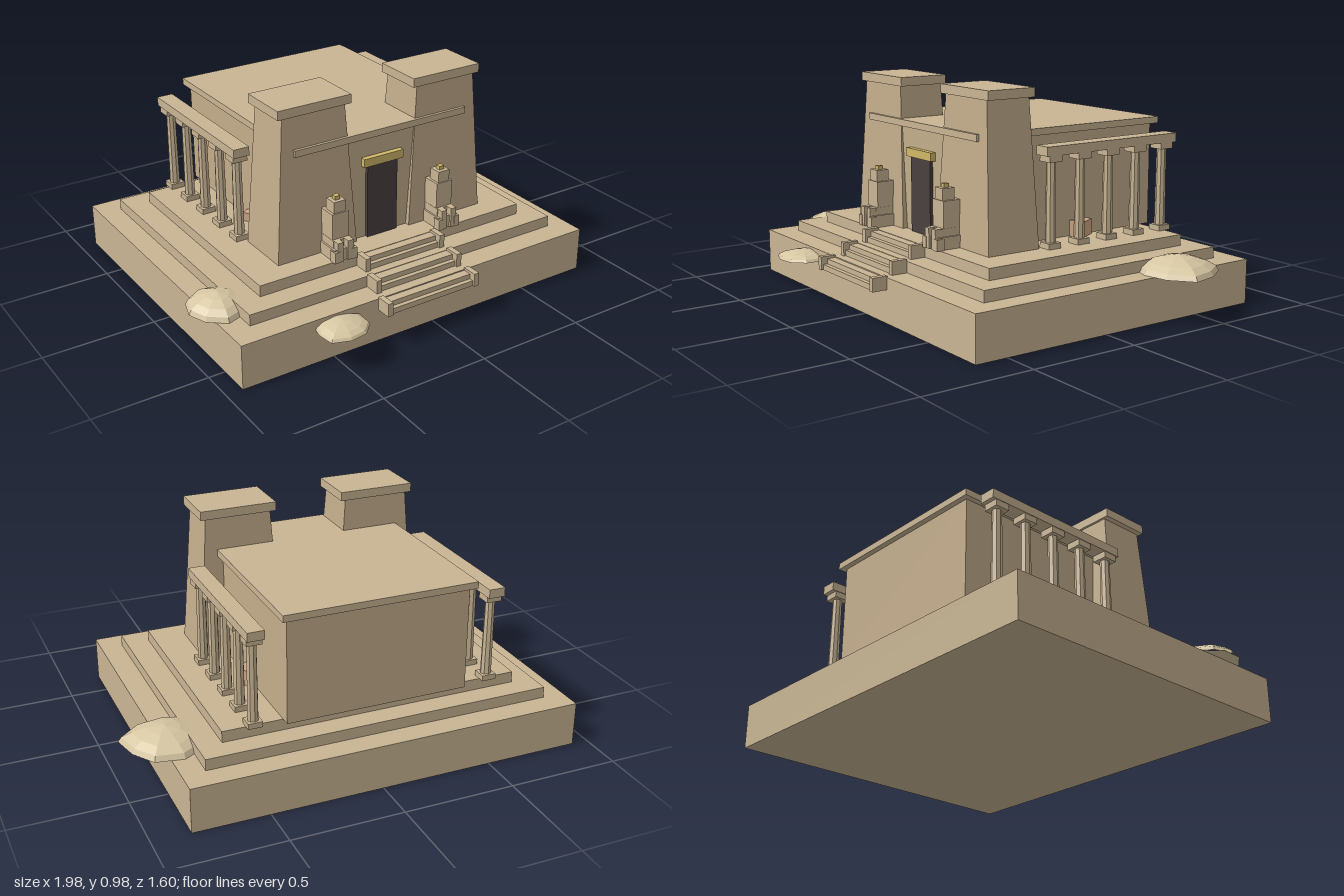
import * as THREE from 'three';

const mat = (color) => new THREE.MeshStandardMaterial({ color, flatShading: true });
const SAND = mat(0xc9b594), STONE = mat(0xc4ae8c), DARK = mat(0x4a403f), GOLD = mat(0xd0b868),
  DUNE = mat(0xd6c6a2), CLAY = mat(0xcfa583);
const CX = -0.046; // symmetry axis of the temple

function add(parent, name, geometry, material) {
  const mesh = new THREE.Mesh(geometry, material);
  mesh.name = name;
  parent.add(mesh);
  return mesh;
}

// Box given by its extents on each axis
function box(parent, name, [x0, x1], [y0, y1], [z0, z1], material = SAND) {
  const mesh = add(parent, name, new THREE.BoxGeometry(x1 - x0, y1 - y0, z1 - z0), material);
  mesh.position.set((x0 + x1) / 2, (y0 + y1) / 2, (z0 + z1) / 2);
  return mesh;
}

function group(parent, name, x = 0, y = 0, z = 0) {
  const g = new THREE.Group();
  g.name = name;
  g.position.set(x, y, z);
  parent.add(g);
  return g;
}

// Gate tower with battered walls and a flat cap
function pylon(parent, x) {
  const g = group(parent, 'pylon', x, 0.3, 0.208);
  const body = new THREE.BoxGeometry(0.39, 0.64, 0.26);
  const p = body.attributes.position;
  for (let i = 0; i < p.count; i++) {
    if (p.getY(i) > 0) p.setXYZ(i, p.getX(i) * 0.77, p.getY(i), p.getZ(i) * 0.82);
  }
  body.translate(0, 0.32, 0);
  add(g, 'pylonBody', body, STONE);
  box(g, 'pylonCap', [-0.175, 0.175], [0.64, 0.68], [-0.118, 0.118]);
}

// Row of five octagonal columns under a beam
function colonnade(parent, x) {
  const g = group(parent, 'colonnade', x, 0, 0);
  for (let i = 0; i < 5; i++) {
    const c = group(g, 'column', 0, 0, 0.027 - i * 0.156);
    box(c, 'columnBase', [-0.032, 0.032], [0.3, 0.325], [-0.032, 0.032]);
    const shaft = add(c, 'columnShaft', new THREE.CylinderGeometry(0.021, 0.024, 0.35, 8), SAND);
    shaft.position.y = 0.5;
    box(c, 'columnCapital', [-0.034, 0.034], [0.67, 0.7], [-0.034, 0.034]);
  }
  box(g, 'columnBeam', [-0.037, 0.037], [0.698, 0.738], [-0.65, 0.075]);
}

// Seated guardian figure
function statue(parent, x) {
  const g = group(parent, 'statue', x, 0.3, 0);
  box(g, 'throne', [-0.042, 0.042], [0, 0.09], [0.33, 0.425]);
  box(g, 'plinth', [-0.05, 0.05], [0, 0.055], [0.33, 0.445]);
  for (const s of [-1, 1]) {
    box(g, 'leg', [s * 0.025 - 0.014, s * 0.025 + 0.014], [0, 0.09], [0.4, 0.455]);
    box(g, 'foot', [s * 0.042 - 0.013, s * 0.042 + 0.013], [0, 0.05], [0.42, 0.458]);
  }
  box(g, 'torso', [-0.041, 0.041], [0.08, 0.207], [0.33, 0.415]);
  box(g, 'head', [-0.029, 0.029], [0.207, 0.258], [0.35, 0.41]);
  box(g, 'crown', [-0.012, 0.012], [0.258, 0.275], [0.368, 0.392], GOLD);
}

// Two steps between a pair of cheek walls
function flight(parent, half, y, z, depth) {
  const g = group(parent, 'stairFlight', CX, y, z);
  box(g, 'lowerStep', [-half + 0.02, half - 0.02], [0, 0.025], [0, depth - 0.01]);
  box(g, 'upperStep', [-half + 0.02, half - 0.02], [0.025, 0.048], [0, depth - 0.03]);
  for (const s of [-1, 1]) {
    const c = s * (half - 0.0125);
    box(g, 'cheekWall', [c - 0.0125, c + 0.0125], [0, 0.06], [0, depth]);
  }
}

// Faceted sand drift: a flat dome with an uneven rim and a closed underside
function dune(parent, x, y, z, rx, height, rz, seed) {
  const geometry = new THREE.SphereGeometry(1, 9, 4, 0, Math.PI * 2, 0, Math.PI / 2);
  const p = geometry.attributes.position;
  for (let i = 0; i < p.count; i++) {
    const a = Math.atan2(p.getZ(i), p.getX(i));
    const k = 0.94 + 0.06 * Math.sin(3 * a + seed) + 0.04 * Math.sin(5 * a + 2 * seed);
    const r = Math.hypot(p.getX(i), p.getZ(i));
    p.setXYZ(i, p.getX(i) * k, p.getY(i) * (1 - 0.25 * r), p.getZ(i) * k);
  }
  geometry.scale(rx, height, rz);
  const g = group(parent, 'sandDrift', x, y, z);
  add(g, 'driftTop', geometry, DUNE);
  const under = add(g, 'driftUnderside', new THREE.CircleGeometry(0.94, 9), DUNE);
  under.rotation.x = Math.PI / 2;
  under.scale.set(rx, rz, 1);
}

export function createModel() {
  const model = new THREE.Group();
  model.name = 'temple';

  // Stepped platform
  box(model, 'groundBlock', [CX - 0.88, CX + 0.88], [0, 0.2], [-0.805, 0.648]);
  box(model, 'lowerTerrace', [CX - 0.78, CX + 0.78], [0.2, 0.25], [-0.7, 0.54]);
  box(model, 'upperTerrace', [CX - 0.675, CX + 0.675], [0.25, 0.3], [-0.6, 0.44]);

  // Hall with overhanging roof
  box(model, 'hall', [CX - 0.41, CX + 0.41], [0.3, 0.768], [-0.645, 0.315], STONE);
  box(model, 'hallRoof', [CX - 0.435, CX + 0.435], [0.765, 0.795], [-0.67, 0.333]);

  // Doorway
  box(model, 'door', [CX - 0.077, CX + 0.077], [0.3, 0.635], [0.3, 0.33], DARK);
  box(model, 'doorLintel', [CX - 0.1, CX + 0.1], [0.638, 0.676], [0.3, 0.34], GOLD);

  for (const s of [-1, 1]) {
    pylon(model, CX + s * 0.333);
    colonnade(model, CX + s * 0.54);
    statue(model, CX + s * 0.27);
  }

  // Entrance stairs, one flight per level
  flight(model, 0.205, 0.25, 0.44, 0.07);
  flight(model, 0.22, 0.2, 0.54, 0.073);
  flight(model, 0.236, 0.147, 0.645, 0.072);

  // Fallen blocks beside the hall walls
  for (const [x, z, size, turn] of [[0.376, -0.235, 0.07, 0.5], [-0.465, -0.095, 0.04, 0.6]]) {
    const block = add(model, 'fallenBlock', new THREE.BoxGeometry(size, size, size * 1.2), CLAY);
    block.position.set(x, 0.3 + size / 2, z);
    block.rotation.y = turn;
  }

  // Drifted sand
  dune(model, 0.81, 0.2, -0.41, 0.19, 0.075, 0.185, 0.4);
  dune(model, -0.86, 0.2, 0.335, 0.142, 0.07, 0.145, 2.1);
  dune(model, -0.49, 0.155, 0.69, 0.125, 0.042, 0.115, 1.2);
  return model;
}
